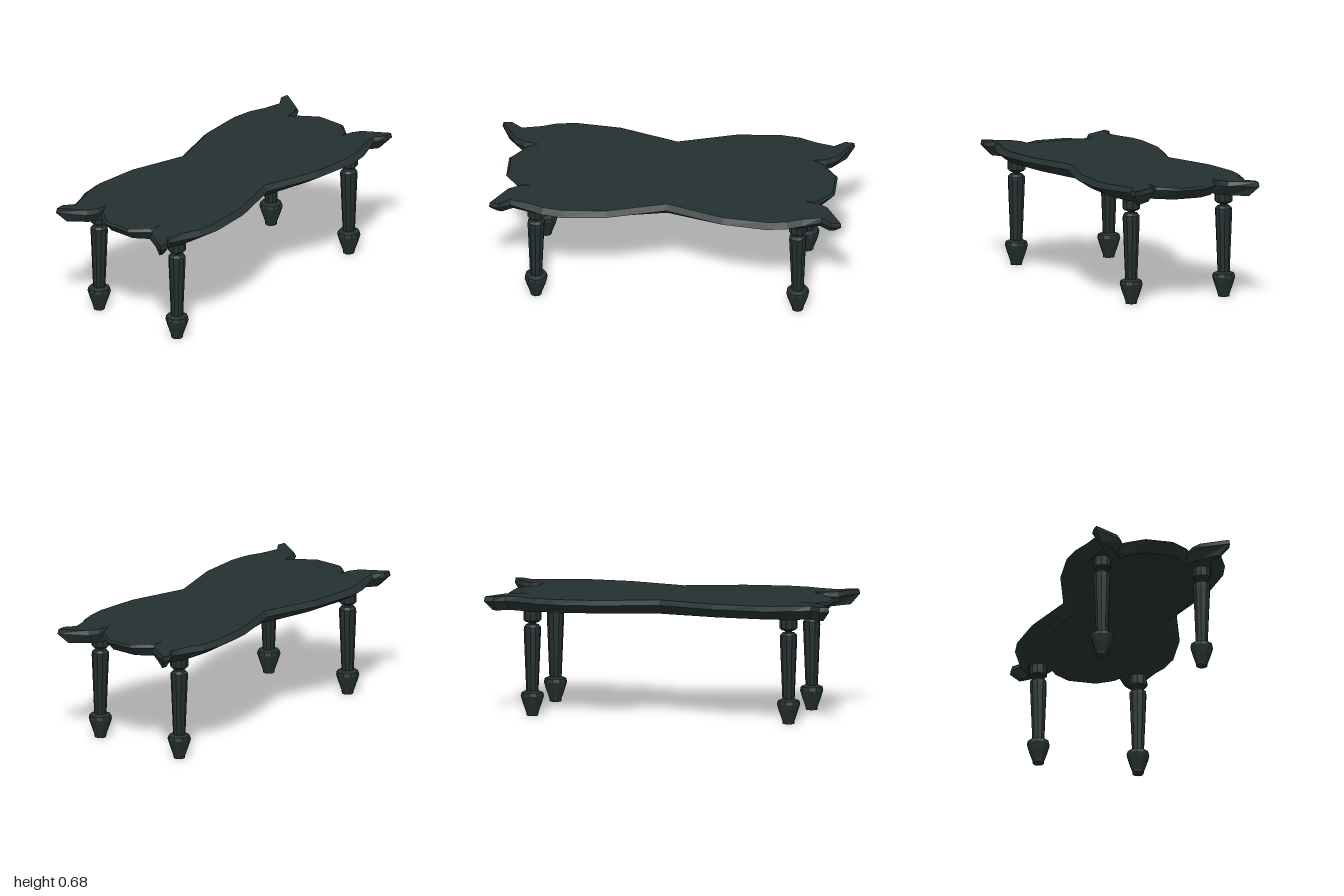
import * as THREE from 'three';

const flat = (g) => {
  const f = g.index ? g.toNonIndexed() : g;
  f.computeVertexNormals();
  return f;
};

// Quarter outline, waist to end lobe: [rim x, z,  top x, z, y,  underside x, z]
const TOP = 0.683, RIM = 0.656, UNDER = 0.6;
const quarter = [
  [0.33, 0, 0.3, 0, TOP, 0.27, 0],
  [0.43, 0.33, 0.4, 0.33, TOP, 0.34, 0.33],
  [0.455, 0.58, 0.42, 0.58, TOP, 0.36, 0.58],
  [0.436, 0.7, 0.405, 0.69, TOP, 0.355, 0.7],
  [0.402, 0.78, 0.37, 0.778, TOP, 0.34, 0.78],
  [0.36, 0.884, 0.345, 0.885, TOP, 0.31, 0.87],
  [0.399, 0.947, 0.391, 0.945, TOP, 0.35, 0.93],
  [0.39, 1, 0.386, 0.995, TOP, 0.345, 0.957],
  [0.233, 0.915, 0.242, 0.905, TOP, 0.25, 0.88],
  [0.2, 0.857, 0.21, 0.85, TOP, 0.225, 0.84],
  [0.2, 0.785, 0.2, 0.778, TOP, 0.2, 0.775],
  [0.19, 0.847, 0.18, 0.84, 0.672, 0.17, 0.82],
  [0.085, 0.932, 0.08, 0.92, 0.668, 0.08, 0.88],
];

// Mirror a quarter ring across x, then turn it half round
function closeRing(q) {
  const half = [...q, ...q.slice().reverse().map(([x, y, z]) => [-x, y, z])];
  return [...half, ...half.slice(1, -1).map(([x, y, z]) => [-x, y, -z])];
}

function slabGeometry() {
  const pos = [];
  const under = closeRing(quarter.map((p) => [p[5], UNDER, p[6]]));
  const rim = closeRing(quarter.map((p) => [p[0], RIM, p[1]]));
  const top = closeRing(quarter.map((p) => [p[2], p[4], p[3]]));

  // Bevelled edge bands
  const band = (lo, up) => lo.forEach((a, i) => {
    const j = (i + 1) % lo.length;
    pos.push(...a, ...up[i], ...lo[j], ...up[i], ...up[j], ...lo[j]);
  });
  band(under, rim);
  band(rim, top);

  // Flat faces, turned to face up or down
  const cap = (ring, dir) => {
    const pts = ring.map(([x, , z]) => new THREE.Vector2(x, z));
    for (const t of THREE.ShapeUtils.triangulateShape(pts, [])) {
      const [a, b, c] = t.map((i) => ring[i]);
      const ny = (b[2] - a[2]) * (c[0] - a[0]) - (b[0] - a[0]) * (c[2] - a[2]);
      pos.push(...a, ...(ny * dir > 0 ? [...b, ...c] : [...c, ...b]));
    }
  };
  cap(under, -1);

  // Upper side: main panel, then the ears and lobe at each end
  const q = quarter.map((p) => [p[2], p[4], p[3]]);
  cap(closeRing(q.slice(0, 5)), 1);
  const ear = q.slice(4, 11), lobe = q.slice(10);
  const lobeFull = [...lobe, ...lobe.slice().reverse().map(([x, y, z]) => [-x, y, z])];
  for (const sz of [1, -1]) {
    for (const sx of [1, -1]) cap(ear.map(([x, y, z]) => [x * sx, y, z * sz]), 1);
    cap(lobeFull.map(([x, y, z]) => [x, y, z * sz]), 1);
  }

  const g = new THREE.BufferGeometry();
  g.setAttribute('position', new THREE.Float32BufferAttribute(pos, 3));
  return flat(g);
}

// Turned ten-sided leg with pointed foot, tapered shaft and collar
function legGeometry() {
  const profile = [
    [0, 0], [0.033, 0], [0.034, 0.015], [0.055, 0.075], [0.066, 0.112], [0.061, 0.132],
    [0.04, 0.141], [0.035, 0.142], [0.049, 0.485], [0.048, 0.505], [0.036, 0.519],
    [0.021, 0.523], [0.021, 0.529], [0.042, 0.536], [0.045, 0.541], [0.051, 0.545], [0.051, 0.61],
  ].map(([r, y]) => new THREE.Vector2(r, y));
  return flat(new THREE.LatheGeometry(profile, 10, Math.PI / 2));
}

export function createModel() {
  const model = new THREE.Group();
  model.name = 'table';
  const paint = new THREE.MeshStandardMaterial({ color: 0x242f2f });
  paint.name = 'dark green-grey';

  const slab = new THREE.Mesh(slabGeometry(), paint);
  slab.name = 'tableTop';
  model.add(slab);

  const legGeo = legGeometry();
  for (const [sz, end] of [[1, 'front'], [-1, 'back']]) {
    for (const [sx, side] of [[1, 'Left'], [-1, 'Right']]) {
      const leg = new THREE.Mesh(legGeo, paint);
      leg.name = `${end}${side}Leg`;
      leg.position.set(0.29 * sx, 0, 0.742 * sz);
      model.add(leg);
    }
  }
  return model;
}
